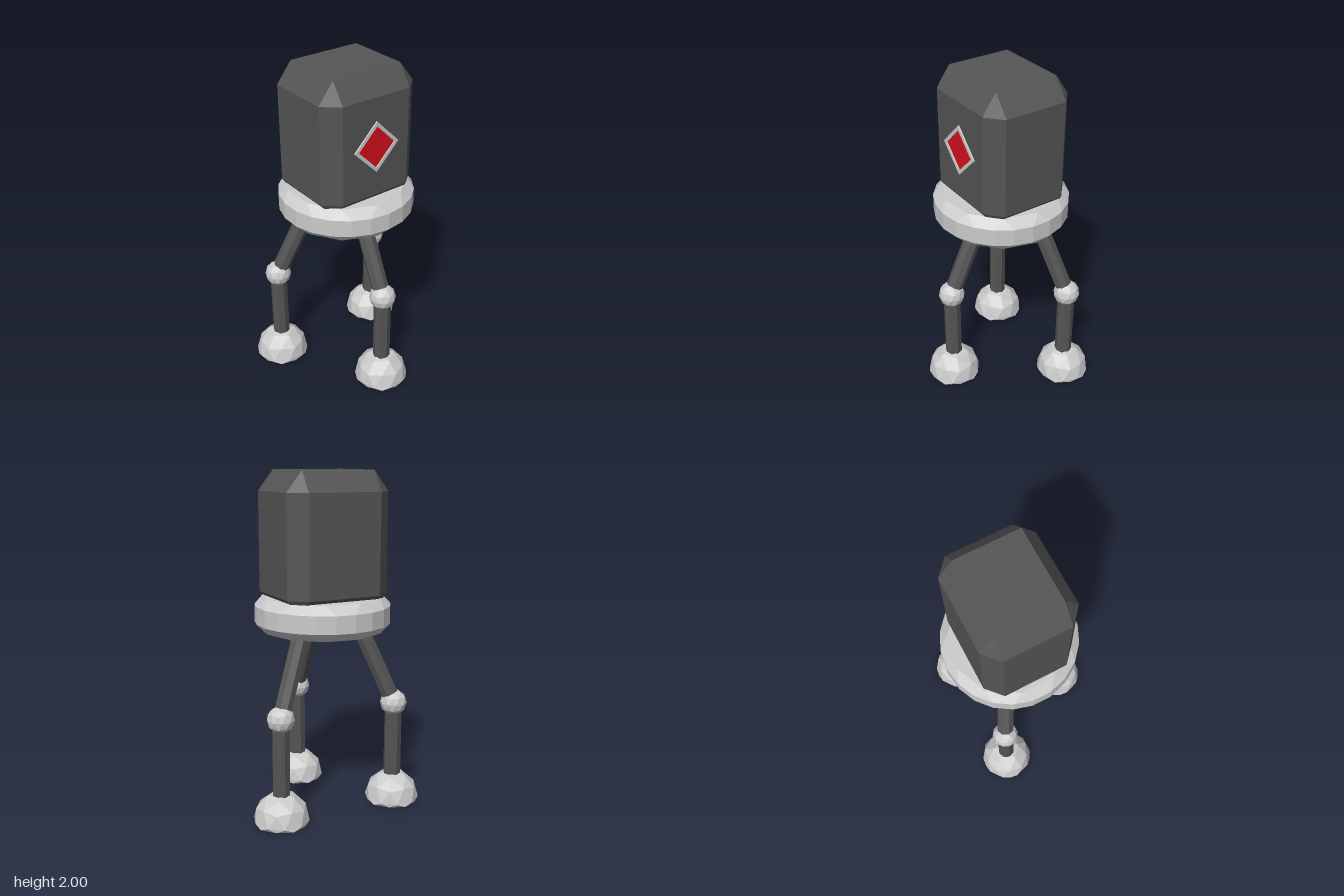
import * as THREE from 'three';
import { ConvexGeometry } from 'three/addons/geometries/ConvexGeometry.js';

const V = (x, y, z) => new THREE.Vector3(x, y, z);
const grey = new THREE.MeshStandardMaterial({ color: 0xcccccc, flatShading: true });
const dark = new THREE.MeshStandardMaterial({ color: 0x555555, flatShading: true });
const red = new THREE.MeshStandardMaterial({ color: 0xd6101c, flatShading: true });

function part(name, geometry, material, x = 0, y = 0, z = 0) {
  const mesh = new THREE.Mesh(geometry, material);
  mesh.name = name;
  mesh.position.set(x, y, z);
  return mesh;
}

// Box with every edge chamfered: three points at each corner
function chamferedBox(h, b) {
  const points = [];
  for (const x of [-1, 1]) for (const y of [-1, 1]) for (const z of [-1, 1]) {
    points.push(
      V(x * h.x, y * (h.y - b.y), z * (h.z - b.z)),
      V(x * (h.x - b.x), y * h.y, z * (h.z - b.z)),
      V(x * (h.x - b.x), y * (h.y - b.y), z * h.z));
  }
  return new ConvexGeometry(points);
}

// Disc with 22 sides whose top and bottom faces have 11
function facetedDisc() {
  const points = [];
  const ring = (n, r, y, start) => {
    for (let i = 0; i < n; i++) {
      const a = start + (i / n) * Math.PI * 2;
      points.push(V(r * Math.cos(a), y, -r * Math.sin(a)));
    }
  };
  ring(11, 0.36, 0.102, Math.PI / 2);
  ring(22, 0.405, 0.052, 0);
  ring(22, 0.405, -0.052, 0);
  ring(11, 0.36, -0.102, Math.PI / 2);
  return new ConvexGeometry(points);
}

// Low-poly ball standing on one of its corners
function ball(r) {
  return new THREE.IcosahedronGeometry(r, 1).rotateZ(-Math.atan(2 / (1 + Math.sqrt(5))));
}

// Upper half of a ball on a short flat base
function footGeometry() {
  const g = ball(0.165);
  const p = g.attributes.position;
  for (let i = 0; i < p.count; i++) {
    if (p.getY(i) < -0.01) p.setXYZ(i, p.getX(i) * 1.1, -0.02, p.getZ(i) * 1.1);
  }
  g.computeVertexNormals();
  return g;
}

// Rod between two points
function rod(name, from, to, r) {
  const dir = to.clone().sub(from);
  const mesh = part(name, new THREE.CylinderGeometry(r, r, dir.length(), 8), dark);
  mesh.position.copy(from).add(to).multiplyScalar(0.5);
  mesh.quaternion.setFromUnitVectors(V(0, 1, 0), dir.normalize());
  return mesh;
}

// Diamond outline
function diamond(r, Type) {
  return new Type([[r, 0], [0, r], [-r, 0], [0, -r]].map(([x, y]) => new THREE.Vector2(x, y)));
}

function leg(name, x, z, hipX, hipZ) {
  const group = new THREE.Group();
  group.name = name;
  const knee = V(x, 0.62, z);
  group.add(
    part('foot', footGeometry(), grey, x, 0.02, z),
    rod('shin', V(x, 0.1, z), knee, 0.053),
    part('knee', ball(0.081), grey, x, 0.62, z),
    rod('thigh', knee, V(hipX, 1.09, hipZ), 0.052));
  return group;
}

export function createModel() {
  const model = new THREE.Group();
  model.name = 'tripodMachine';

  // Body block and the disc it rests in
  model.add(part('body', chamferedBox(V(0.28, 0.415, 0.322), V(0.085, 0.12, 0.095)), dark, -0.06, 1.585, 0.008));
  model.add(part('disc', facetedDisc(), grey, -0.06, 1.168, 0.008));

  // Diamond window on the left side
  const outline = diamond(0.153, THREE.Shape);
  outline.holes.push(diamond(0.125, THREE.Path));
  const frame = new THREE.ExtrudeGeometry(outline, { depth: 0.02, bevelEnabled: false });
  model.add(part('windowFrame', frame.rotateY(Math.PI / 2), grey, 0.209, 1.59, 0.01));
  const pane = new THREE.ShapeGeometry(diamond(0.126, THREE.Shape));
  model.add(part('windowPane', pane.rotateY(Math.PI / 2), red, 0.222, 1.59, 0.01));

  // Three jointed legs
  model.add(leg('sideLeg', 0.305, 0.01, 0.09, 0.01));
  model.add(leg('frontLeg', -0.288, 0.374, -0.182, 0.19));
  model.add(leg('backLeg', -0.288, -0.374, -0.182, -0.19));
  return model;
}
